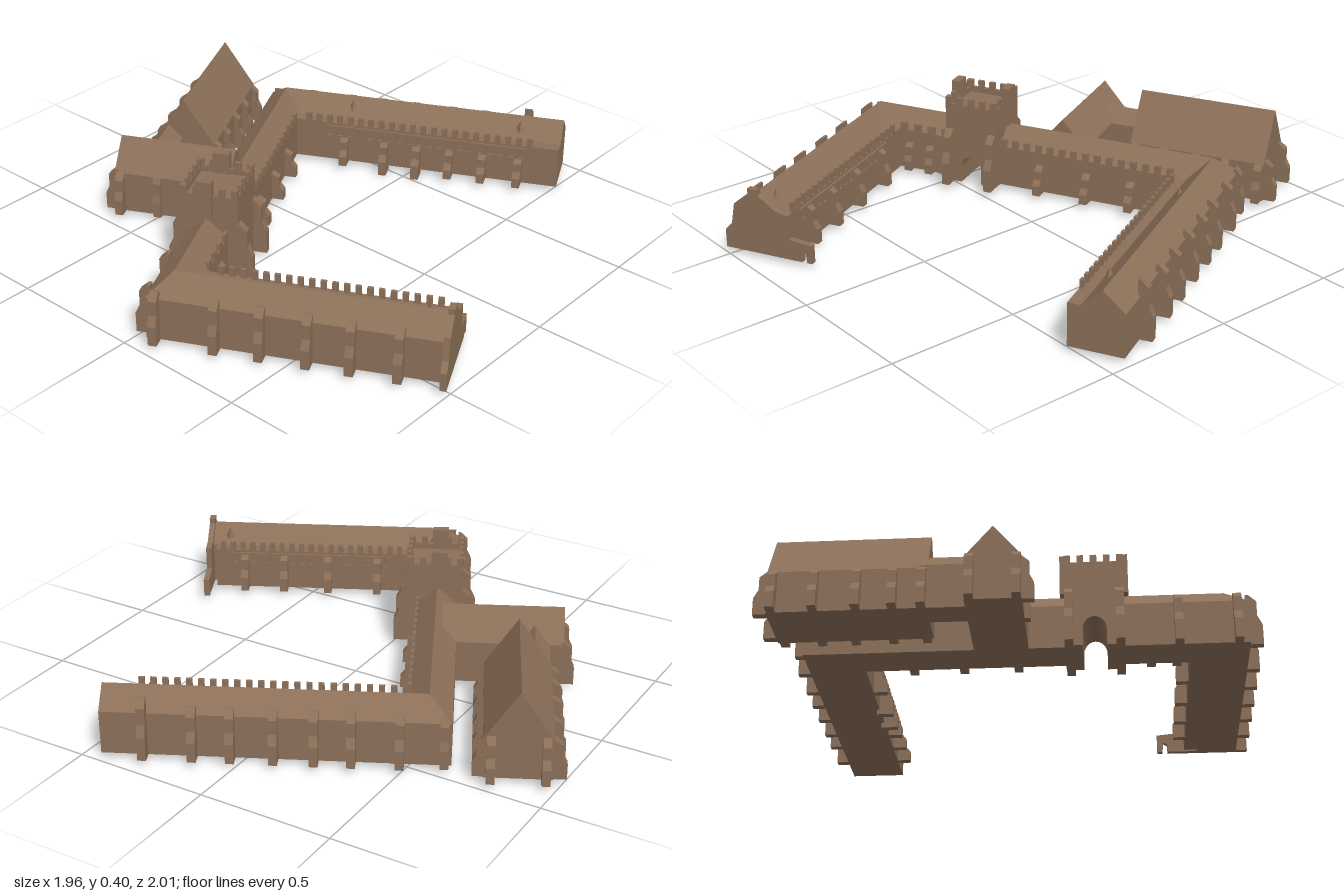
import * as THREE from 'three';

const material = new THREE.MeshStandardMaterial({ color: 0x8c7059, flatShading: true, side: THREE.DoubleSide });
const BASE = 0.02;
const EAST = 0, WEST = Math.PI, SOUTH = -Math.PI / 2, NORTH = Math.PI / 2; // outward headings

function createModel() {
  const model = new THREE.Group();
  model.name = 'castleCourt';
  // the whole plan is laid out square, then turned on the site
  const plan = new THREE.Group();
  plan.name = 'buildings';
  plan.rotation.y = Math.atan2(1, 2);
  model.add(plan);

  const add = (name, geometry) => {
    const mesh = new THREE.Mesh(geometry, material);
    mesh.name = name;
    plan.add(mesh);
    return mesh;
  };
  const box = (name, x0, x1, y0, y1, z0, z1) => {
    const g = new THREE.BoxGeometry(x1 - x0, y1 - y0, z1 - z0);
    return add(name, g.translate((x0 + x1) / 2, (y0 + y1) / 2, (z0 + z1) / 2));
  };
  const extrude = (points, depth) => new THREE.ExtrudeGeometry(
    new THREE.Shape(points.map(p => new THREE.Vector2(...p))), { depth, bevelEnabled: false });

  // Gabled block whose ridge runs along x or z
  function gabled(name, x0, x1, z0, z1, eave, ridge, alongX) {
    const w = (alongX ? z1 - z0 : x1 - x0) / 2, length = alongX ? x1 - x0 : z1 - z0;
    const g = extrude([[-w, BASE], [w, BASE], [w, eave], [0, ridge], [-w, eave]], length);
    if (alongX) g.rotateY(Math.PI / 2).translate(x0, 0, (z0 + z1) / 2);
    else g.translate((x0 + x1) / 2, 0, z0);
    add(name, g);
  }

  // Stepped buttress leaning against a wall
  function buttress(x, z, heading, h = 0.2, reach = 0.045, y0 = BASE) {
    const g = extrude([[-0.01, y0], [reach, y0], [reach, h * 0.45], [reach * 0.62, h * 0.62],
      [reach * 0.62, h * 0.88], [0, h], [-0.01, h]], 0.03);
    add('buttress', g.translate(0, 0, -0.015).rotateY(heading).translate(x, 0, z));
  }

  // Row of merlons between two points on a wall top
  function merlons(x0, z0, x1, z1, y0, y1, count, thick = 0.012) {
    const length = Math.hypot(x1 - x0, z1 - z0), alongX = Math.abs(x1 - x0) > Math.abs(z1 - z0);
    const w = length / (count * 2 - 1);
    for (let i = 0; i < count; i++) {
      const t = (w * (2 * i + 0.5)) / length;
      const g = new THREE.BoxGeometry(alongX ? w : thick, y1 - y0, alongX ? thick : w);
      add('merlon', g.translate(x0 + (x1 - x0) * t, (y0 + y1) / 2, z0 + (z1 - z0) * t));
    }
  }

  // Range with mitred corners: one cross-section, measured inward, joined station to station
  const section = [[0, BASE], [0, 0.18], [0.08, 0.25], [0.155, 0.18], [0.155, BASE]];
  function range(name, stations) {
    const pos = [], index = [], n = section.length;
    for (const place of stations) for (const [d, y] of section) {
      const [x, z] = place(d);
      pos.push(x, y, z);
    }
    for (let s = 0; s < stations.length - 1; s++) for (let i = 0; i < n; i++) {
      const a = s * n + i, b = s * n + (i + 1) % n;
      index.push(a, b, a + n, b, b + n, a + n);
    }
    const e = (stations.length - 1) * n;
    for (let i = 1; i < n - 1; i++) index.push(0, i + 1, i, e, e + i, e + i + 1);
    const g = new THREE.BufferGeometry();
    g.setAttribute('position', new THREE.Float32BufferAttribute(pos, 3));
    g.setIndex(index);
    const flat = g.toNonIndexed();
    flat.computeVertexNormals();
    add(name, flat);
  }
  const W = -0.87, E = 0.684, N = -0.375;
  range('westRange', [d => [W + d, 0.645], d => [W + d, N + d], d => [-0.39, N + d]]);
  range('eastRange', [d => [-0.28, N + d], d => [E - d, N + d], d => [E - d, 0.823]]);

  // Court side galleries with battlements
  box('westGallery', W + 0.15, -0.665, BASE, 0.181, -0.225, 0.62);
  merlons(-0.671, -0.18, -0.671, 0.6, 0.181, 0.215, 20);
  box('eastGallery', 0.483, E - 0.15, BASE, 0.181, -0.225, 0.823);
  merlons(0.489, -0.18, 0.489, 0.72, 0.181, 0.213, 22);
  merlons(-0.225, -0.222, 0.475, -0.222, 0.178, 0.212, 15);
  merlons(-0.66, -0.222, -0.45, -0.222, 0.178, 0.212, 4);

  // Window bands of the galleries
  function windowBand(x, z0, length, heading) {
    const n = Math.round(length / 0.04), step = length / n;
    const shape = new THREE.Shape([[0, 0.118], [length, 0.118], [length, 0.172], [0, 0.172]]
      .map(p => new THREE.Vector2(...p)));
    for (let i = 0; i < n; i++) {
      const s = i * step + 0.009, e = (i + 1) * step - 0.009;
      shape.holes.push(new THREE.Path([[s, 0.13], [s, 0.162], [e, 0.162], [e, 0.13]]
        .map(p => new THREE.Vector2(...p))));
    }
    const g = new THREE.ExtrudeGeometry(shape, { depth: 0.008, bevelEnabled: false });
    g.translate(-length / 2, 0, 0).rotateY(heading).translate(x, 0, z0 + length / 2);
    add('windowBand', g);
  }
  windowBand(-0.665, -0.1, 0.66, Math.PI / 2);
  windowBand(0.483, -0.1, 0.8, -Math.PI / 2);

  // Small roof vents
  for (const [x, z] of [[0.572, -0.01], [0.565, 0.66], [-0.745, 0.57]])
    add('roofVent', new THREE.ConeGeometry(0.02, 0.045, 4).translate(x, 0.225, z));

  // End wall of the west wing, stepped up to a finial, with a low arched arm
  add('westEndWall', extrude([[-0.914, BASE], [-0.6, BASE], [-0.6, 0.05], [-0.585, 0.06], [-0.58, BASE],
    [-0.56, BASE], [-0.56, 0.09], [-0.65, 0.1], [-0.65, 0.19], [-0.7, 0.2], [-0.77, 0.25], [-0.77, 0.27],
    [-0.81, 0.27], [-0.81, 0.25], [-0.87, 0.2], [-0.885, 0.12], [-0.914, 0.09]], 0.022).translate(0, 0, 0.637));

  // Gate tower with a through arch
  const tx0 = -0.44, tx1 = -0.23, tz0 = -0.39, tz1 = -0.18, mid = (tx0 + tx1) / 2;
  const arch = [];
  for (let i = 0; i <= 10; i++) {
    const t = Math.PI * (1 - i / 10);
    arch.push([mid + 0.042 * Math.cos(t), 0.08 + 0.05 * Math.sin(t)]);
  }
  add('gateTower', extrude([[tx0, BASE], [mid - 0.042, BASE], ...arch, [mid + 0.042, BASE],
    [tx1, BASE], [tx1, 0.32], [tx0, 0.32]], tz1 - tz0).translate(0, 0, tz0));
  const t = 0.014;
  for (const [z, s] of [[tz0, 1], [tz1, -1]]) {
    box('towerParapet', tx0, tx1, 0.32, 0.342, Math.min(z, z + s * t), Math.max(z, z + s * t));
    merlons(tx0, z + s * t / 2, tx1, z + s * t / 2, 0.342, 0.37, 5, t);
  }
  for (const [x, s] of [[tx0, 1], [tx1, -1]]) {
    const lo = Math.min(x, x + s * t), hi = Math.max(x, x + s * t);
    box('towerParapet', lo, hi, 0.32, 0.342, tz0, tz1);
    merlons(x + s * t / 2, tz0, x + s * t / 2, tz1, 0.342, 0.37, 5, t);
    box('towerTurret', x - 0.016, x + 0.016, 0.25, 0.4, -0.33, -0.27);
    const bx = x + s * 0.016;
    buttress(bx, tz1, SOUTH, 0.24, 0.05);
    buttress(bx, tz0, NORTH, 0.24, 0.05);
  }

  // Cross wing, link and great hall behind
  gabled('crossWing', -0.105, 0.085, -0.768, -0.32, 0.18, 0.29, false);
  gabled('hallLink', 0.0, 0.24, -0.715, -0.605, 0.18, 0.235, true);
  gabled('greatHall', 0.212, 0.75, -0.716, -0.478, 0.17, 0.348, true);

  // Buttresses of the ranges
  for (const z of [-0.13, 0.027, 0.188, 0.335, 0.496]) buttress(W, z, WEST, 0.21);
  for (const z of [-0.04, 0.16, 0.34, 0.5]) buttress(-0.665, z, EAST, 0.17);
  for (const z of [-0.2, -0.036, 0.09, 0.228, 0.375, 0.505]) buttress(E, z, EAST, 0.21);
  buttress(E, 0.675, EAST, 0.24);
  for (const z of [-0.02, 0.14, 0.27, 0.4, 0.53, 0.67])
    buttress(0.483, z, WEST, 0.13, 0.05, z > 0.1 && z < 0.3 ? 0 : BASE);
  for (const x of [-0.83, -0.626]) buttress(x, N, NORTH, 0.21);
  buttress(W, -0.34, WEST, 0.21);
  buttress(E, -0.35, EAST, 0.2, 0.03);
  for (const x of [-0.06, 0.134, 0.313]) buttress(x, -0.22, SOUTH, 0.13);
  for (const x of [-0.62, -0.53]) buttress(x, -0.22, SOUTH, 0.13, 0.03);

  // Buttresses of the hall and cross wing
  for (const x of [0.23, 0.326, 0.447, 0.59, 0.73]) buttress(x, -0.716, NORTH, 0.17);
  for (const x of [0.237, 0.353, 0.483, 0.6, 0.73]) buttress(x, -0.478, SOUTH, 0.17, 0.035);
  for (const z of [-0.69, -0.505]) buttress(0.75, z, EAST, 0.18);
  for (const x of [-0.088, 0.068]) buttress(x, -0.768, NORTH, 0.19, 0.04);
  for (const z of [-0.745, -0.6]) buttress(-0.105, z, WEST, 0.18, z < -0.7 ? 0.04 : 0.02);

  return model;
}

export { createModel };
